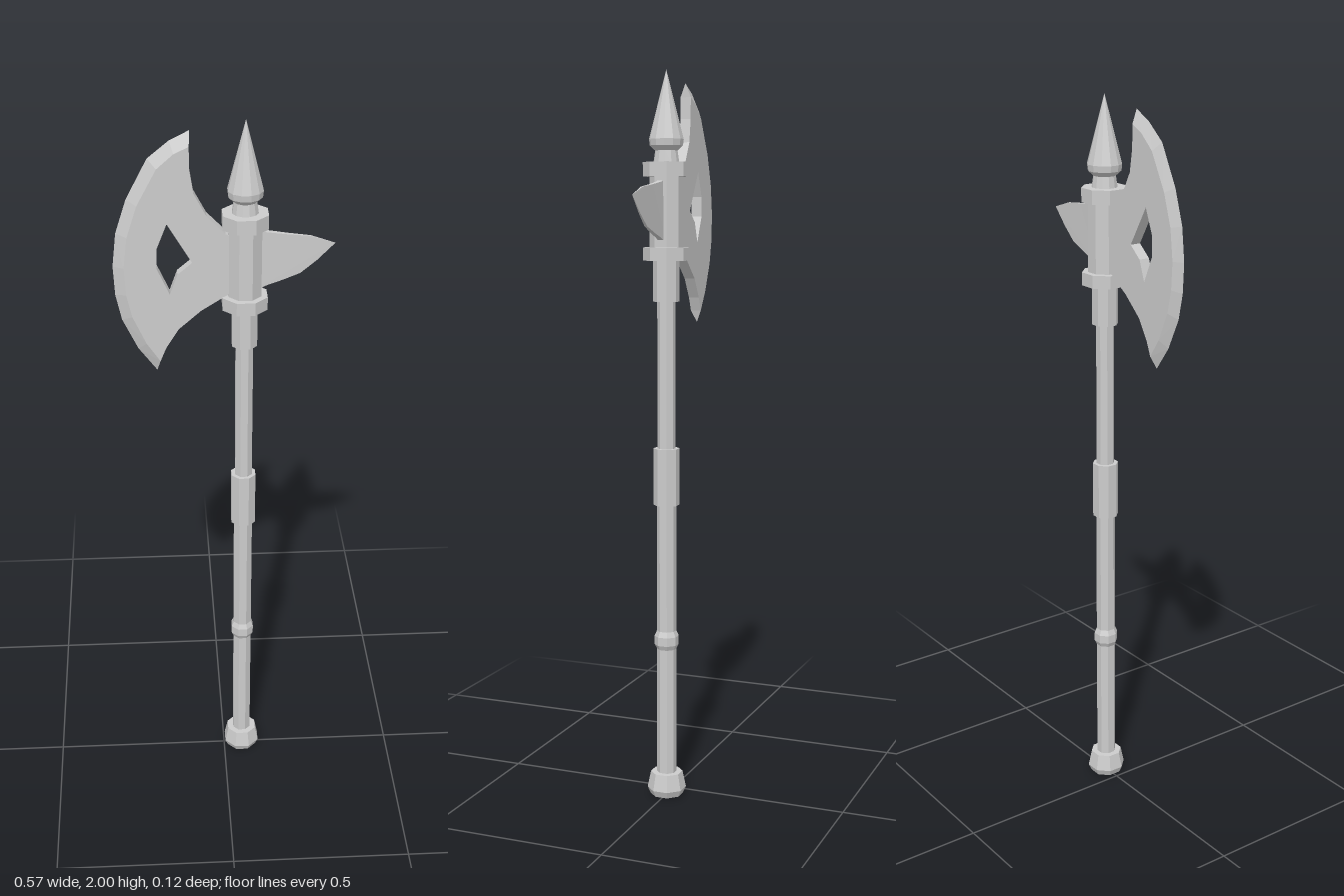
import * as THREE from 'three';

const material = new THREE.MeshStandardMaterial({ color: 0xcccccc, flatShading: true, side: THREE.DoubleSide });
const AXIS_X = 0.053;

function addMesh(group, name, geometry) {
  const mesh = new THREE.Mesh(geometry, material);
  mesh.name = name;
  group.add(mesh);
  return mesh;
}

// Faceted turned part: profile of [radius to the flats, y], listed bottom to top
function addTurned(group, name, profile, sides = 8) {
  const k = 1 / Math.cos(Math.PI / sides);
  const points = profile.map(([r, y]) => new THREE.Vector2(r * k, y));
  const mesh = addMesh(group, name, new THREE.LatheGeometry(points, sides, Math.PI / sides));
  mesh.position.x = AXIS_X;
}

// Straight capped sleeve
const addSleeve = (group, name, r, y0, y1) =>
  addTurned(group, name, [[0, y0], [r, y0], [r, y1], [0, y1]]);

const toPoints = (list) => list.map(([x, y]) => new THREE.Vector2(x, y));

// Plate centred on z = 0
function plate(shape, thickness) {
  const geometry = new THREE.ExtrudeGeometry(shape, { depth: thickness, bevelEnabled: false });
  return geometry.translate(0, 0, -thickness / 2);
}

// Sharpened rim: wedge between the cutting edge (z = 0) and the plate's border (z = +-h)
function wedge(outer, inner, h) {
  const pos = [];
  const tri = (...corners) => corners.forEach((c) => pos.push(...c));
  const O = (i) => [outer[i][0], outer[i][1], 0];
  const I = (i, z) => [inner[i][0], inner[i][1], z];
  const n = outer.length - 1;
  for (let i = 0; i < n; i++) {
    tri(O(i), O(i + 1), I(i + 1, h));
    tri(O(i), I(i + 1, h), I(i, h));
    tri(O(i), I(i + 1, -h), O(i + 1));
    tri(O(i), I(i, -h), I(i + 1, -h));
  }
  tri(O(0), I(0, h), I(0, -h));
  tri(O(n), I(n, -h), I(n, h));
  const geometry = new THREE.BufferGeometry();
  geometry.setAttribute('position', new THREE.Float32BufferAttribute(pos, 3));
  geometry.computeVertexNormals();
  return geometry;
}

export function createModel() {
  const model = new THREE.Group();
  model.name = 'battleAxe';

  // Haft, from the pommel upwards
  addTurned(model, 'pommel', [[0, 0], [0.042, 0.003], [0.05, 0.022], [0.041, 0.068], [0, 0.068]]);
  addSleeve(model, 'lowerShaft', 0.025, 0.06, 0.84);
  addTurned(model, 'shaftRing', [[0.025, 0.425], [0.031, 0.438], [0.031, 0.462], [0.025, 0.477]]);
  addSleeve(model, 'gripSleeve', 0.033, 0.833, 0.99);
  addSleeve(model, 'upperShaft', 0.023, 0.98, 1.4);
  addSleeve(model, 'neckSleeve', 0.033, 1.39, 1.51);

  // Socket holding the head
  addSleeve(model, 'lowerCollar', 0.058, 1.5, 1.535);
  addSleeve(model, 'socket', 0.042, 1.53, 1.73);
  addSleeve(model, 'upperCollar', 0.058, 1.722, 1.76);
  addTurned(model, 'spearTip',
    [[0.034, 1.755], [0.029, 1.79], [0.043, 1.803], [0.045, 1.82], [0, 2]], 12);

  // Crescent blade: cutting edge, border of the bevel, and the concave inner outline
  const edge = [[-0.085, 1.975], [-0.135, 1.95], [-0.19, 1.905], [-0.245, 1.8], [-0.274, 1.71],
    [-0.284, 1.62], [-0.28, 1.54], [-0.265, 1.47], [-0.225, 1.385], [-0.177, 1.32]];
  const border = [[-0.087, 1.938], [-0.125, 1.92], [-0.168, 1.882], [-0.219, 1.787], [-0.246, 1.703],
    [-0.256, 1.62], [-0.252, 1.546], [-0.238, 1.483], [-0.203, 1.405], [-0.168, 1.353]];
  const inside = [[-0.153, 1.39], [-0.119, 1.445], [-0.06, 1.497], [0.003, 1.537], [0.03, 1.55],
    [0.03, 1.695], [0.003, 1.708], [-0.045, 1.757], [-0.077, 1.817], [-0.087, 1.88]];
  const hole = [[-0.145, 1.738], [-0.082, 1.632], [-0.12, 1.6], [-0.14, 1.545],
    [-0.172, 1.616], [-0.172, 1.67]];
  const bladeShape = new THREE.Shape(toPoints([...border, ...inside]));
  bladeShape.holes.push(new THREE.Path(toPoints(hole)));
  const blade = new THREE.Group();
  blade.name = 'blade';
  addMesh(blade, 'bladeBody', plate(bladeShape, 0.03));
  addMesh(blade, 'bladeEdge', wedge(edge, border, 0.015));
  model.add(blade);

  // Rear spike, thinning towards its point
  const spikeShape = new THREE.Shape(toPoints([[0.075, 1.545], [0.105, 1.56], [0.15, 1.575],
    [0.195, 1.592], [0.238, 1.627], [0.283, 1.672], [0.22, 1.693], [0.16, 1.7], [0.105, 1.708], [0.075, 1.718]]));
  const spike = plate(spikeShape, 0.018);
  const p = spike.attributes.position;
  for (let i = 0; i < p.count; i++) {
    p.setZ(i, p.getZ(i) * Math.max(0.03, (0.283 - p.getX(i)) / 0.208));
  }
  spike.computeVertexNormals();
  addMesh(model, 'rearSpike', spike);

  return model;
}
